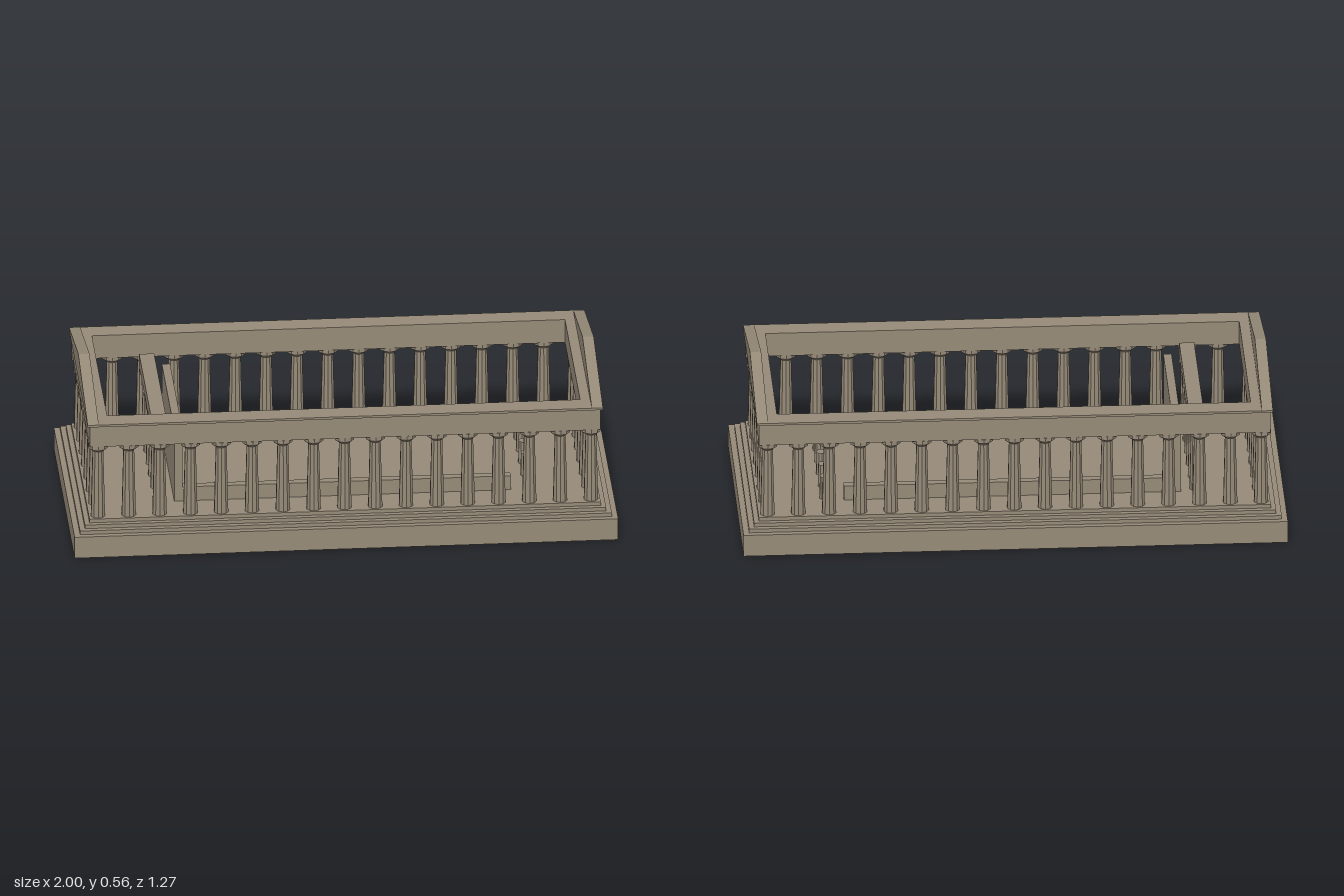
import * as THREE from 'three';

const stone = new THREE.MeshStandardMaterial({ color: 0x968a78, flatShading: true });
const openStone = new THREE.MeshStandardMaterial({ color: 0x968a78, flatShading: true, side: THREE.DoubleSide });

const LENGTH = 1.848, WIDTH = 0.88, FLOOR = 0.118, BEAM_Y = 0.388;

export function createModel() {
  const model = new THREE.Group();
  const temple = new THREE.Group();
  temple.name = 'temple';
  temple.rotation.y = 0.2245;
  model.add(temple);

  const add = (name, geometry, x = 0, y = 0, z = 0, material = stone) => {
    const mesh = new THREE.Mesh(geometry, material);
    mesh.name = name;
    mesh.position.set(x, y, z);
    temple.add(mesh);
    return mesh;
  };
  // Box given by its x, y and z limits
  const block = (name, x0, x1, y0, y1, z0, z1) =>
    add(name, new THREE.BoxGeometry(x1 - x0, y1 - y0, z1 - z0), (x0 + x1) / 2, (y0 + y1) / 2, (z0 + z1) / 2);

  // Plinth: a shell open underneath
  const shell = new THREE.BoxGeometry(LENGTH, 0.078, WIDTH);
  const index = Array.from(shell.index.array);
  index.splice(18, 6);
  shell.setIndex(index);
  shell.clearGroups();
  add('plinth', shell, 0, 0.039, 0, openStone);

  // Three steps above the plinth
  [0.02, 0.038, 0.055].forEach((inset, i) => {
    const y = 0.078 + i * 0.0133, hx = LENGTH / 2 - inset, hz = WIDTH / 2 - inset;
    block('step', -hx, hx, y, y + 0.0134, -hz, hz);
  });

  // Tapered column with flared capital
  const columnGeometry = (radius, height) => new THREE.LatheGeometry([
    [0, 0], [radius, 0], [radius * 0.76, height - 0.026], [radius * 1.36, height - 0.014],
    [radius * 1.36, height], [0, height],
  ].map(([x, y]) => new THREE.Vector2(x, y)), 10);

  // Outer colonnade: 17 along each side, 8 across each end
  const outer = columnGeometry(0.025, BEAM_Y - FLOOR);
  const cx = 0.838, cz = 0.354;
  for (const side of [-1, 1]) {
    for (let i = 0; i < 17; i++) add('sideColumn', outer, -cx + (2 * cx * i) / 16, FLOOR, side * cz);
    for (let i = 1; i < 7; i++) add('endColumn', outer, side * cx, FLOOR, -cz + (2 * cz * i) / 7);
  }

  // Rectangular ring lying flat, extruded upward
  const ring = (name, hx, hz, ix, iz, y, height) => {
    const rect = (path, a, b) => path.moveTo(-a, -b).lineTo(a, -b).lineTo(a, b).lineTo(-a, b).closePath();
    const shape = rect(new THREE.Shape(), hx, hz);
    shape.holes.push(rect(new THREE.Path(), ix, iz));
    const geometry = new THREE.ExtrudeGeometry(shape, { depth: height, bevelEnabled: false });
    add(name, geometry.rotateX(-Math.PI / 2), 0, y, 0);
  };
  ring('entablature', 0.868, 0.385, 0.804, 0.32, BEAM_Y, 0.077);
  ring('cornice', 0.876, 0.393, 0.804, 0.32, 0.465, 0.008);

  // Triangular pediments on both ends
  const gable = new THREE.Shape();
  gable.moveTo(-0.393, 0).lineTo(0.393, 0).lineTo(0, 0.084).closePath();
  for (const side of [-1, 1]) {
    const geometry = new THREE.ExtrudeGeometry(gable, { depth: 0.038, bevelEnabled: false });
    geometry.translate(0, 0, -0.019).rotateY(Math.PI / 2);
    add('pediment', geometry, side * 0.857, 0.473, 0);
  }

  // Inner chamber: low ruined side walls and a tall rear wall
  for (const side of [-1, 1]) {
    const z = side * 0.25;
    block('chamberSideWall', -0.545, 0.573, FLOOR, 0.17, z - 0.0135, z + 0.0135);
  }
  block('chamberRearWall', -0.571, -0.543, FLOOR, 0.385, -0.264, 0.264);

  // Rear porch with its beam, and broken columns of the front porch
  const inner = columnGeometry(0.021, 0.38 - FLOOR);
  const stub = new THREE.CylinderGeometry(0.0185, 0.02, 0.2 - FLOOR, 10);
  for (let i = 0; i < 6; i++) {
    const z = -0.24 + i * 0.096;
    add('rearPorchColumn', inner, -0.622, FLOOR, z);
    add('brokenColumn', stub, 0.635, (0.2 + FLOOR) / 2, z);
  }
  block('rearPorchBeam', -0.648, -0.597, 0.38, 0.425, -0.264, 0.264);

  return model;
}
